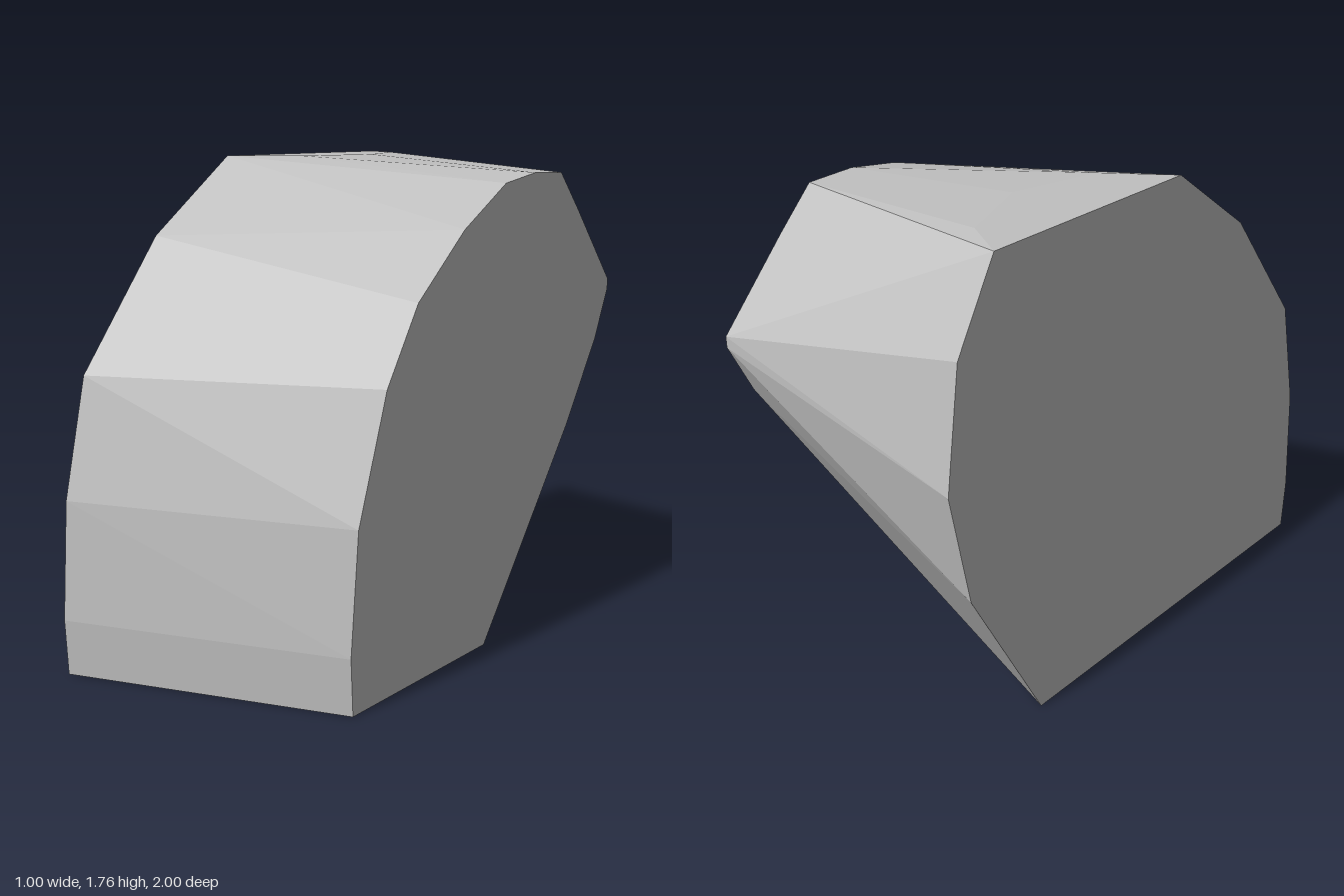
import * as THREE from 'three';
import { ConvexGeometry } from 'three/addons/geometries/ConvexGeometry.js';

// Side outlines as [z, y], from the front foot over the top to the back foot
const largeOutline = [
  [0.99, 0], [1, 0.2], [0.97, 0.62], [0.87, 1.04], [0.51, 1.49], [0.13, 1.76],
  [-0.77, 1.76], [-0.93, 1.47], [-0.985, 1.04], [-0.9, 0.62], [-0.565, 0],
];
const smallOutline = [
  [0.67, 0], [0.68, 0.2], [0.64, 0.62], [0.49, 1.05], [0.32, 1.31], [0.05, 1.53],
  [-0.21, 1.675], [-0.41, 1.705], [-0.6, 1.7], [-0.74, 1.555], [-1, 1.27],
  [-1, 1.23], [-0.91, 1.04], [-0.7, 0.73], [-0.12, 0],
];
// Corners of the flat crown, as [x, z]
const crown = [[-0.28, -0.03], [-0.2, -0.36], [-0.33, -0.67]];

export function createModel() {
  const group = new THREE.Group();
  group.name = 'facetedBlock';
  const grey = new THREE.MeshStandardMaterial({ color: 0xc0c0c0 });
  grey.name = 'stone grey';

  // Faceted skin stretched between the two side outlines
  const side = (outline, x) => outline.map(([z, y]) => new THREE.Vector3(x, y, z));
  const points = [
    ...side(largeOutline, -0.5),
    ...side(smallOutline, 0.5),
    ...crown.map(([x, z]) => new THREE.Vector3(x, 1.76, z)),
  ];
  const block = new THREE.Mesh(new ConvexGeometry(points), grey);
  block.name = 'block';
  group.add(block);
  return group;
}
